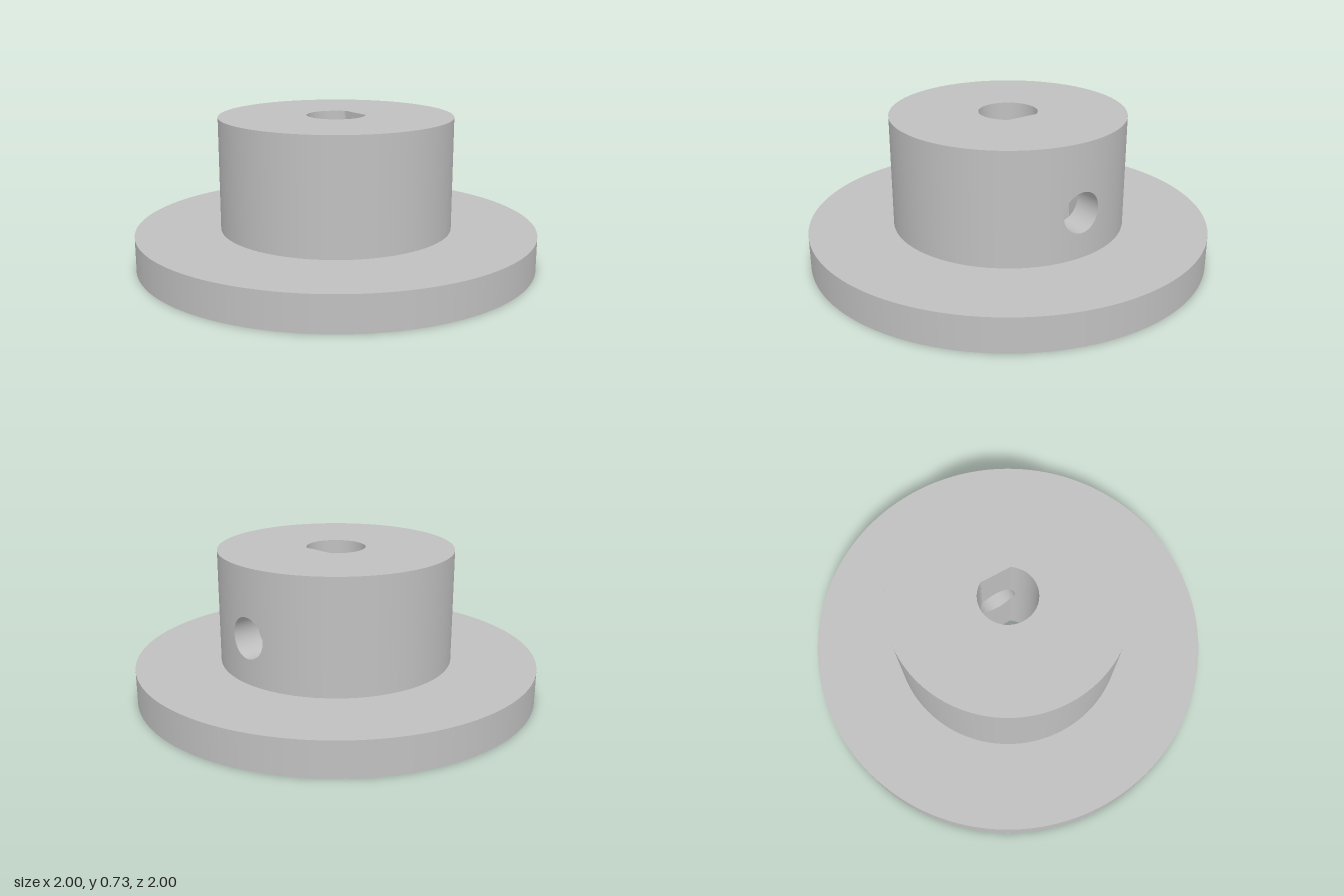
import * as THREE from 'three';
import { ParametricGeometry } from 'three/addons/geometries/ParametricGeometry.js';

const FLANGE_R = 1, FLANGE_H = 0.17, HUB_R = 0.58, TOP = 0.73;
const BORE_R = 0.145, FLAT_X = 0.12;
const SCREW_R = 0.1, SCREW_Y = 0.395;
const SLOT = { x0: 0.27, x1: 0.425, z: 0.18, top: 0.57 };

const hubX = (z) => Math.sqrt(HUB_R ** 2 - z ** 2);
const boreX = (z) => Math.min(FLAT_X, Math.sqrt(BORE_R ** 2 - z ** 2));

// Upright cylinder wall that leaves out the angles within +-gap of +x
function arcWall(r, gap, y0, y1, inward) {
  return new ParametricGeometry((u, v, p) => {
    const a = gap + (inward ? u : 1 - u) * (2 * Math.PI - 2 * gap);
    p.set(r * Math.cos(a), y0 + v * (y1 - y0), r * Math.sin(a));
  }, 128, 1);
}

// Wall patch around the screw hole, following x = f(z)
function holedWall(f, halfWidth, y0, y1, inward) {
  return new ParametricGeometry((u, v, p) => {
    const t = (inward ? -u : u) * 2 * Math.PI;
    const c = Math.cos(t), s = Math.sin(t), m = Math.max(Math.abs(c), Math.abs(s));
    const edgeZ = (c / m) * halfWidth;
    const edgeY = (s / m) * (s > 0 ? y1 - SCREW_Y : SCREW_Y - y0);
    const z = THREE.MathUtils.lerp(SCREW_R * c, edgeZ, v);
    p.set(f(z), SCREW_Y + THREE.MathUtils.lerp(SCREW_R * s, edgeY, v), z);
  }, 96, 12);
}

// Inside of the screw hole between two surfaces
function tunnel(from, to) {
  return new ParametricGeometry((u, v, p) => {
    const t = u * 2 * Math.PI, z = SCREW_R * Math.cos(t);
    p.set(THREE.MathUtils.lerp(from(z), to(z), v), SCREW_Y + SCREW_R * Math.sin(t), z);
  }, 64, 1);
}

function disc(r, ...holes) {
  const s = new THREE.Shape().absarc(0, 0, r, 0, 2 * Math.PI, false);
  s.holes.push(...holes);
  return new THREE.ShapeGeometry(s, 128);
}

function rectangle(shape, x0, y0, x1, y1) {
  return shape.moveTo(x0, y0).lineTo(x1, y0).lineTo(x1, y1).lineTo(x0, y1).closePath();
}

export function createModel() {
  const group = new THREE.Group();
  const grey = new THREE.MeshStandardMaterial({ color: 0xc0c0c0, side: THREE.DoubleSide });
  grey.name = 'grey';
  const add = (name, geometry) => {
    const mesh = new THREE.Mesh(geometry, grey);
    mesh.name = name;
    group.add(mesh);
  };

  // D-shaped bore outline
  const a = Math.acos(FLAT_X / BORE_R);
  const bore = new THREE.Path().absarc(0, 0, BORE_R, a, 2 * Math.PI - a, false).closePath();

  // Flange
  const slotOpening = rectangle(new THREE.Path(), SLOT.x0, -SLOT.z, SLOT.x1, SLOT.z);
  add('flangeBottom', disc(FLANGE_R, bore, slotOpening).rotateX(Math.PI / 2));
  add('flangeRim', arcWall(FLANGE_R, 0, 0, FLANGE_H, false));
  const hubCircle = new THREE.Path().absarc(0, 0, HUB_R, 0, 2 * Math.PI, false);
  add('flangeTop', disc(FLANGE_R, hubCircle).rotateX(-Math.PI / 2).translate(0, FLANGE_H, 0));

  // Hub
  add('hubTop', disc(HUB_R, bore).rotateX(-Math.PI / 2).translate(0, TOP, 0));
  add('hubWall', arcWall(HUB_R, Math.asin(0.4 / HUB_R), FLANGE_H, TOP, false));
  add('hubWallAroundScrewHole', holedWall(hubX, 0.4, FLANGE_H, TOP, false));

  // Shaft bore with its flat side
  add('boreWall', arcWall(BORE_R, Math.asin(0.12 / BORE_R), 0, TOP, true));
  add('boreFlat', holedWall(boreX, 0.12, 0, TOP, true));

  // Screw hole on both sides of the nut slot
  add('screwHoleInner', tunnel(boreX, () => SLOT.x0));
  add('screwHoleOuter', tunnel(() => SLOT.x1, hubX));

  // Nut slot, open at the bottom
  const side = rectangle(new THREE.Shape(), -SLOT.z, 0, SLOT.z, SLOT.top);
  side.holes.push(new THREE.Path().absarc(0, SCREW_Y, SCREW_R, 0, 2 * Math.PI, false));
  for (const [name, x, turn] of [['slotInnerWall', SLOT.x0, 1], ['slotOuterWall', SLOT.x1, -1]]) {
    add(name, new THREE.ShapeGeometry(side, 64).rotateY(turn * Math.PI / 2).translate(x, 0, 0));
  }
  const width = SLOT.x1 - SLOT.x0, midX = (SLOT.x0 + SLOT.x1) / 2;
  for (const s of [-1, 1]) {
    add('slotEnd', new THREE.PlaneGeometry(width, SLOT.top)
      .rotateY(s > 0 ? Math.PI : 0).translate(midX, SLOT.top / 2, s * SLOT.z));
  }
  add('slotCeiling', new THREE.PlaneGeometry(width, 2 * SLOT.z)
    .rotateX(Math.PI / 2).translate(midX, SLOT.top, 0));

  return group;
}
